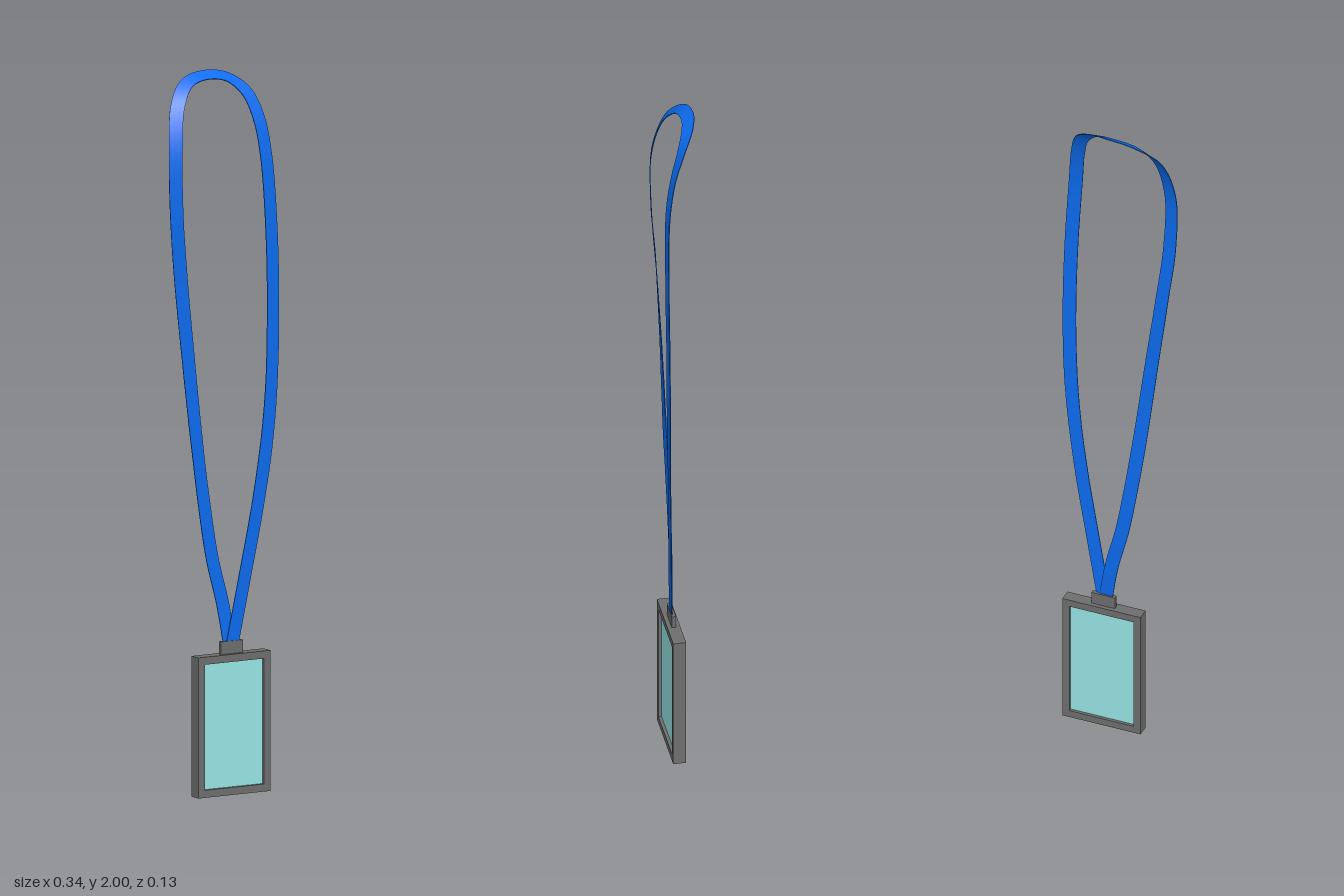
import * as THREE from 'three';

const mat = (color) => new THREE.MeshStandardMaterial({ color });

// Strap centre points (x, y, z) with the direction of the outer edge (x, y, z)
const STRAP = [
  [0.024, 0.41, -0.005, -1, 0, 0.25],
  [0.003, 0.53, -0.004, -1, 0, 0.25],
  [-0.029, 0.66, 0.002, -1, 0, 0.27],
  [-0.057, 0.83, 0.011, -1, 0, 0.3],
  [-0.08, 1.0, 0.02, -1, 0, 0.3],
  [-0.106, 1.22, 0.031, -1, 0, 0.2],
  [-0.131, 1.44, 0.045, -1, 0, 0.1],
  [-0.148, 1.63, 0.06, -1, 0, 0.1],
  [-0.15, 1.8, 0.058, -1, 0.1, 0],
  [-0.133, 1.92, 0.022, -1, 0.3, -0.3],
  [-0.092, 1.975, -0.022, -0.5, 0.5, -0.8],
  [-0.03, 1.99, -0.047, 0, 0.5, -0.86],
  [0.03, 1.981, -0.05, 0.25, 0.5, -0.82],
  [0.08, 1.942, -0.037, 0.8, 0.4, -0.6],
  [0.109, 1.875, -0.018, 1, 0.2, -0.4],
  [0.127, 1.77, -0.004, 1, 0, -0.35],
  [0.143, 1.55, -0.003, 1, 0, -0.32],
  [0.148, 1.32, -0.006, 1, 0, -0.3],
  [0.143, 1.12, -0.007, 1, 0, -0.3],
  [0.13, 0.97, -0.007, 1, 0, -0.25],
  [0.105, 0.8, -0.007, 1, 0, -0.25],
  [0.067, 0.6, -0.006, 1, 0, -0.25],
  [0.03, 0.41, -0.005, 1, 0, -0.25],
];

// Flat band swept along the strap curve, one strip per side for crisp edges
function strapGeometry(halfWidth, halfThick, steps) {
  const path = new THREE.CatmullRomCurve3(STRAP.map((p) => new THREE.Vector3(p[0], p[1], p[2])));
  const edge = new THREE.CatmullRomCurve3(STRAP.map((p) => new THREE.Vector3(p[3], p[4], p[5])));
  const signs = [[1, -1], [1, 1], [-1, 1], [-1, -1]];
  const positions = [];
  const index = [];
  for (let i = 0; i <= steps; i++) {
    const c = path.getPoint(i / steps);
    const t = path.getTangent(i / steps);
    const w = edge.getPoint(i / steps);
    w.addScaledVector(t, -w.dot(t)).normalize();
    const n = new THREE.Vector3().crossVectors(t, w);
    const corners = signs.map(([a, b]) =>
      c.clone().addScaledVector(w, a * halfWidth).addScaledVector(n, b * halfThick));
    for (let k = 0; k < 4; k++) {
      positions.push(...corners[k].toArray(), ...corners[(k + 1) % 4].toArray());
      if (i < steps) {
        const a = i * 8 + k * 2;
        index.push(a, a + 1, a + 9, a, a + 9, a + 8);
      }
    }
  }
  const g = new THREE.BufferGeometry();
  g.setAttribute('position', new THREE.Float32BufferAttribute(positions, 3));
  g.setIndex(index);
  g.computeVertexNormals();
  return g;
}

function rectangle(target, w, h) {
  target.moveTo(-w / 2, -h / 2);
  target.lineTo(w / 2, -h / 2);
  target.lineTo(w / 2, h / 2);
  target.lineTo(-w / 2, h / 2);
  target.closePath();
  return target;
}

export function createModel() {
  const model = new THREE.Group();
  const add = (parent, name, geometry, material, y = 0) => {
    const mesh = new THREE.Mesh(geometry, material);
    mesh.name = name;
    mesh.position.y = y;
    parent.add(mesh);
  };
  const grey = mat(0x6e6e6e);

  // Neck strap
  add(model, 'neckStrap', strapGeometry(0.0195, 0.0012, 220), mat(0x0c6cf0));

  // Card holder, turned slightly about the vertical
  const holder = new THREE.Group();
  holder.name = 'cardHolder';
  holder.position.set(0.028, 0, -0.007);
  holder.rotation.y = 0.255;
  model.add(holder);

  const W = 0.232, H = 0.39, D = 0.036, border = 0.021;
  const outline = rectangle(new THREE.Shape(), W, H);
  outline.holes.push(rectangle(new THREE.Path(), W - 2 * border, H - 2 * border));
  const frame = new THREE.ExtrudeGeometry(outline, { depth: D, bevelEnabled: false });
  frame.translate(0, 0, -D / 2);
  add(holder, 'frame', frame, grey, H / 2);

  // Clear window, recessed from both faces
  add(holder, 'window', new THREE.BoxGeometry(W - 2 * border, H - 2 * border, 0.018), mat(0x98e6e6), H / 2);

  // Clip joining the strap ends to the holder
  add(holder, 'clip', new THREE.BoxGeometry(0.07, 0.04, 0.012), grey, 0.405);

  return model;
}
